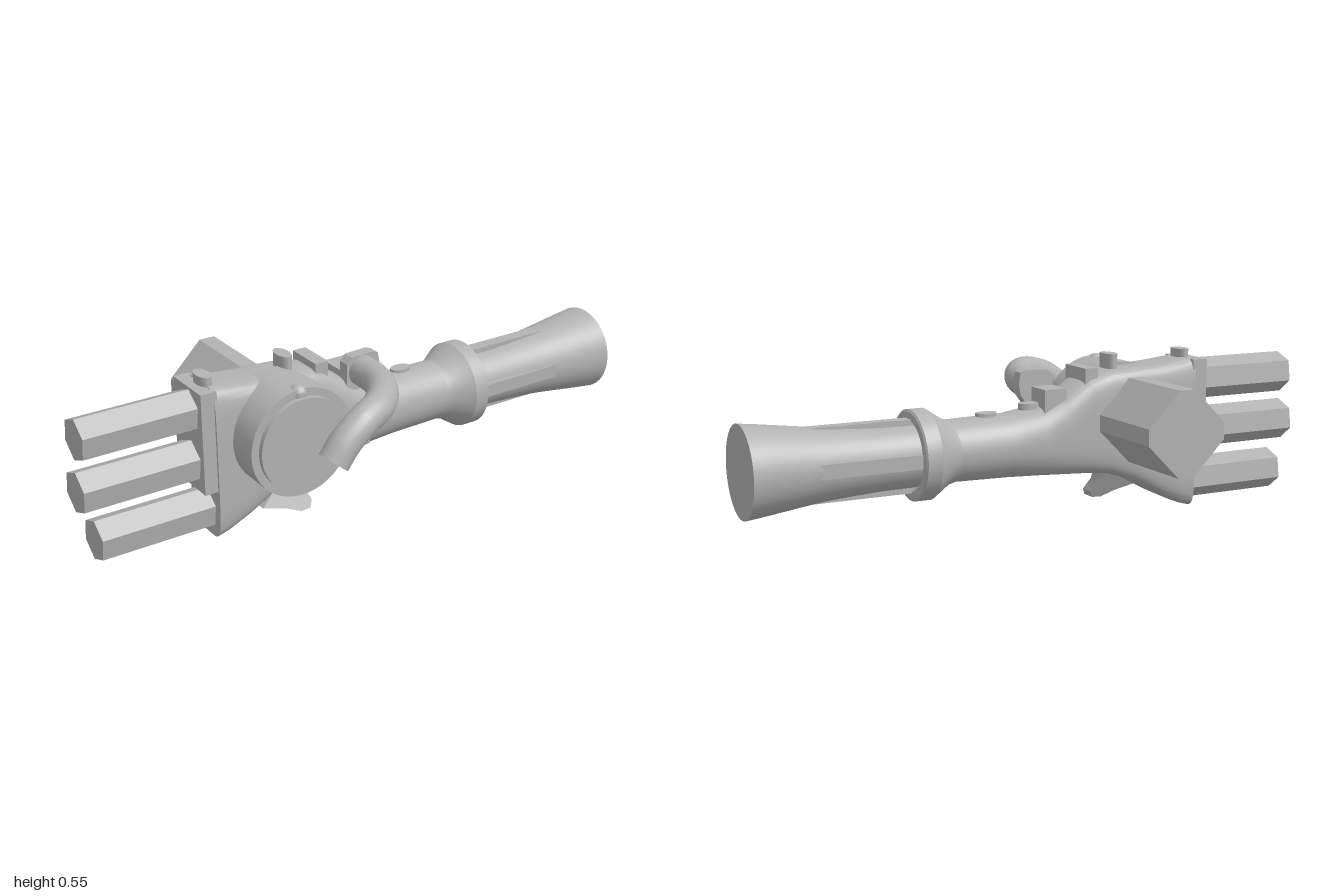
import * as THREE from 'three';
import { toCreasedNormals } from 'three/addons/utils/BufferGeometryUtils.js';

const CY = 0.2635, CZ = -0.012; // axis shared by neck, collar and handle

export function createModel() {
  const group = new THREE.Group();
  const grey = new THREE.MeshStandardMaterial({ color: 0xb2b2b2 });
  grey.name = 'plain grey';

  const add = (name, geo, x = 0, y = 0, z = 0) => {
    const mesh = new THREE.Mesh(toCreasedNormals(geo, 0.55), grey);
    mesh.name = name;
    mesh.position.set(x, y, z);
    group.add(mesh);
    return mesh;
  };
  // box given by its limits on each axis
  const box = (name, x0, x1, y0, y1, z0, z1) =>
    add(name, new THREE.BoxGeometry(x1 - x0, y1 - y0, z1 - z0), (x0 + x1) / 2, (y0 + y1) / 2, (z0 + z1) / 2);
  // lathe turned so that its axis runs along x; points are [x, radius]
  const latheX = (name, pts) => {
    const geo = new THREE.LatheGeometry(pts.map(([x, r]) => new THREE.Vector2(r, x)), 48);
    add(name, geo.rotateZ(-Math.PI / 2), 0, CY, CZ);
  };
  const shapeOf = (pts) => new THREE.Shape(pts.map(([x, y]) => new THREE.Vector2(x, y)));
  const extrude = (pts, depth) => new THREE.ExtrudeGeometry(shapeOf(pts), { depth, bevelEnabled: false });

  // body and neck: boxy section that turns round towards the handle
  // x, bottom, top, half width, squareness
  add('body', loft([
    [-0.57, 0, 0.52, 0.095, 6],
    [-0.53, 0.012, 0.515, 0.096, 6],
    [-0.45, 0.05, 0.506, 0.097, 6],
    [-0.34, 0.11, 0.5, 0.097, 5.5],
    [-0.25, 0.143, 0.495, 0.097, 5],
    [-0.17, 0.15, 0.48, 0.097, 4],
    [-0.08, 0.153, 0.425, 0.098, 3],
    [0, 0.156, 0.388, 0.099, 2.4],
    [0.12, 0.16, 0.372, 0.1, 2],
    [0.34, 0.165, 0.367, 0.1, 2],
  ]));
  box('facePlate', -0.615, -0.56, 0.175, 0.515, -0.1, 0.075);

  // three six-sided barrels
  for (const [x0, x1, y] of [[-0.99, -0.6, 0.437], [-1, -0.6, 0.265], [-0.955, -0.56, 0.088]]) {
    const geo = new THREE.CylinderGeometry(0.071, 0.071, x1 - x0, 6);
    geo.rotateZ(-Math.PI / 2).rotateX(-0.38);
    add('barrel', geo, (x0 + x1) / 2, y, CZ);
  }

  // faceted block on the back
  const a = 0.142, b = 0.0275;
  add('backBlock', extrude([[a, -b], [a, b], [b, a], [-b, a], [-a, b], [-a, -b], [-b, -a], [b, -a]], 0.4),
    -0.33, 0.328, -0.41);

  // drum with a raised disc on the front
  const disc = (name, r, z0, z1) => add(name,
    new THREE.CylinderGeometry(r, r, z1 - z0, 56).rotateX(Math.PI / 2), -0.335, 0.33, (z0 + z1) / 2);
  disc('drum', 0.181, 0, 0.195);
  disc('drumDisc', 0.155, 0.19, 0.213);

  // collar and flared handle
  latheX('collar', [[0.31, 0], [0.31, 0.1], [0.34, 0.108], [0.4, 0.147], [0.45, 0.147], [0.455, 0.14],
    [0.455, 0.115], [0.44, 0.1], [0.44, 0]]);
  latheX('handle', [[0.43, 0], [0.43, 0.102], [0.55, 0.103], [0.65, 0.108], [0.75, 0.115], [0.85, 0.128],
    [0.94, 0.14], [1, 0.147], [1, 0]]);

  // slats around the handle
  for (let i = 0; i < 4; i++) {
    const geo = new THREE.BoxGeometry(0.35, 0.03, 0.045).translate(0.615, 0.103, 0);
    add('handleSlat', geo.rotateX(i * Math.PI / 2), 0, CY, CZ);
  }

  // curved front grip tube with its mounting
  const path = new THREE.CatmullRomCurve3([
    [-0.02, 0.447, 0.03], [-0.03, 0.449, 0.15], [-0.075, 0.455, 0.25], [-0.14, 0.452, 0.32],
    [-0.22, 0.43, 0.35], [-0.285, 0.385, 0.358], [-0.33, 0.33, 0.36],
  ].map((p) => new THREE.Vector3(...p)));
  add('gripTube', new THREE.TubeGeometry(path, 48, 0.051, 24, false));
  for (const t of [0, 1]) {
    const cap = add('gripTubeEnd', new THREE.CircleGeometry(0.051, 24));
    const p = path.getPointAt(t), d = path.getTangentAt(t).multiplyScalar(t ? 1 : -1);
    cap.position.copy(p);
    cap.lookAt(p.clone().add(d));
  }
  add('gripMount', extrude([[-0.08, 0.4], [-0.05, 0.385], [0.015, 0.385], [0.04, 0.42], [0.047, 0.455],
    [0.04, 0.495], [0.02, 0.503], [-0.06, 0.5], [-0.08, 0.48]], 0.042), 0, 0, 0.02);
  box('gripBracket', -0.08, 0, 0.37, 0.447, -0.075, 0.025);
  box('rearSight', -0.195, -0.148, 0.4, 0.508, -0.08, 0.055);

  // oval pegs on top and low buttons on the neck
  const oval = (name, x, z, rx, rz, y0, y1) => add(name,
    new THREE.CylinderGeometry(1, 1, y1 - y0, 28).scale(rx, 1, rz), x, (y0 + y1) / 2, z);
  oval('topPeg', -0.563, -0.008, 0.023, 0.043, 0.47, 0.545);
  oval('topPeg', -0.278, -0.008, 0.023, 0.043, 0.46, 0.545);
  oval('neckButton', 0.03, -0.015, 0.036, 0.027, 0.34, 0.4);
  oval('neckButton', 0.185, -0.015, 0.037, 0.024, 0.34, 0.38);

  // latch beside the drum
  box('latchArm', -0.26, -0.13, 0.32, 0.365, 0.145, 0.2);
  box('latchTip', -0.14, -0.09, 0.315, 0.35, 0.155, 0.2);
  oval('latchBolt', -0.093, 0.178, 0.027, 0.027, 0.297, 0.322);
  oval('latchPin', -0.093, 0.178, 0.018, 0.018, 0.257, 0.3);
  add('drumKnob', new THREE.SphereGeometry(0.03, 20, 12), -0.335, 0.49, 0.175);

  // angled trigger fin below, leaning forward as it drops
  const fin = extrude([[-0.42, 0.075], [-0.34, 0.055], [-0.29, 0.035], [-0.255, 0.037], [-0.243, 0.06],
    [-0.262, 0.1], [-0.26, 0.15], [-0.32, 0.15]], 0.055);
  const p = fin.attributes.position;
  for (let i = 0; i < p.count; i++) p.setZ(i, p.getZ(i) + (0.14 - p.getY(i)) * 0.52);
  add('triggerFin', fin);

  return group;
}

// skin over rounded-square cross-sections placed along x
function loft(sections, n = 48) {
  const pos = [], idx = [];
  const soft = (v, e) => Math.sign(v) * Math.abs(v) ** (2 / e);
  for (const [x, y0, y1, w, e] of sections) {
    for (let j = 0; j < n; j++) {
      const t = (j / n) * Math.PI * 2;
      pos.push(x, (y0 + y1) / 2 + soft(Math.sin(t), e) * (y1 - y0) / 2, CZ + soft(Math.cos(t), e) * w);
    }
  }
  for (let i = 0; i < sections.length - 1; i++) {
    for (let j = 0; j < n; j++) {
      const k = (j + 1) % n, a = i * n + j, b = i * n + k;
      idx.push(a, a + n, b + n, a, b + n, b);
    }
  }
  // closed front end
  const [x, y0, y1] = sections[0], c = pos.length / 3;
  pos.push(x, (y0 + y1) / 2, CZ);
  for (let j = 0; j < n; j++) idx.push(c, j, (j + 1) % n);
  const geo = new THREE.BufferGeometry();
  geo.setAttribute('position', new THREE.Float32BufferAttribute(pos, 3));
  geo.setIndex(idx);
  return geo;
}
